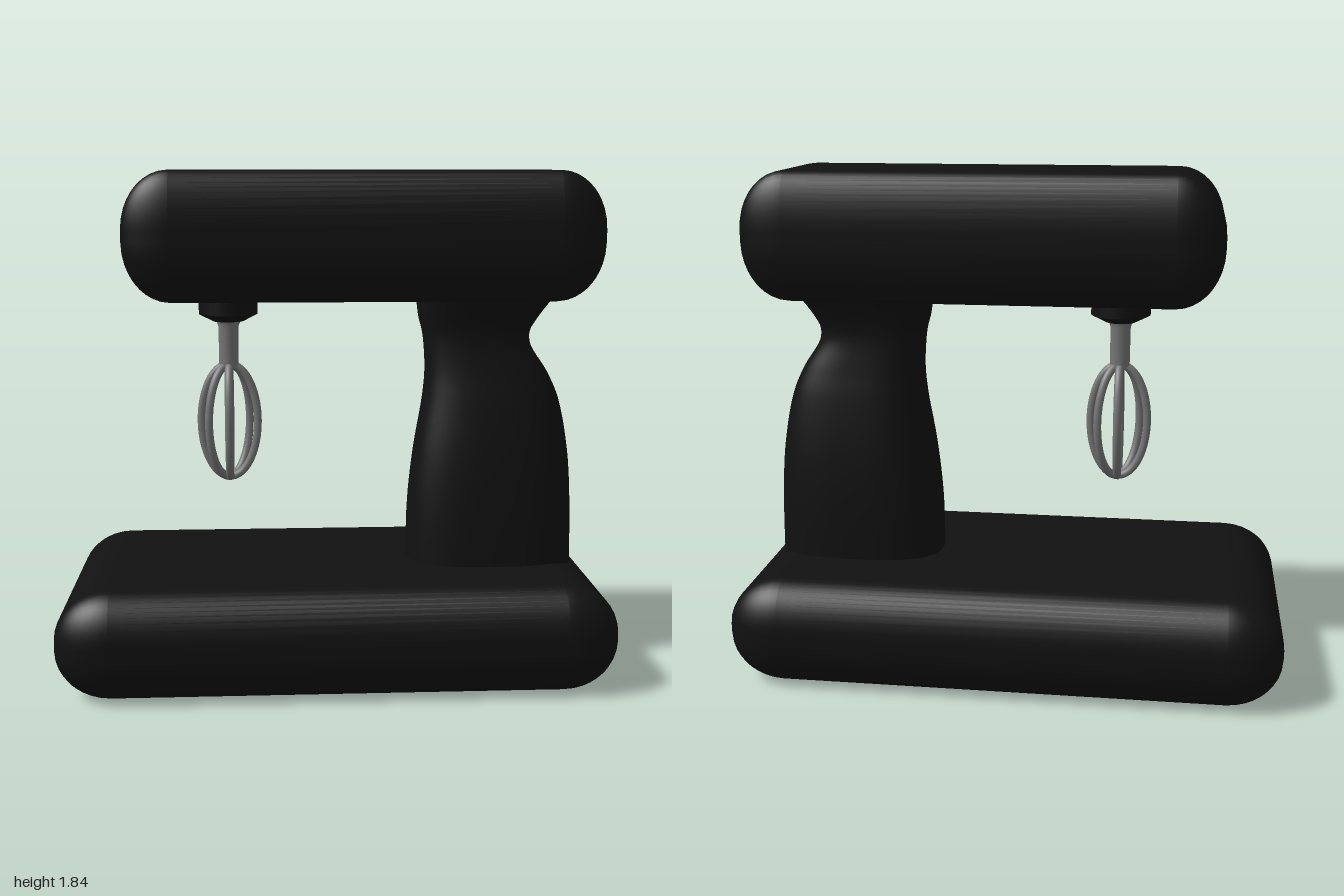
import * as THREE from 'three';
import { RoundedBoxGeometry } from 'three/addons/geometries/RoundedBoxGeometry.js';

const black = new THREE.MeshStandardMaterial({ color: 0x111111 });
const steel = new THREE.MeshStandardMaterial({ color: 0x777777 });

function add(parent, name, geometry, material, x = 0, y = 0, z = 0) {
  const mesh = new THREE.Mesh(geometry, material);
  mesh.name = name;
  mesh.position.set(x, y, z);
  parent.add(mesh);
  return mesh;
}

// Box with a different corner radius along each axis
function softBox(w, h, d, rx, ry, rz) {
  return new RoundedBoxGeometry(w / rx, h / ry, d / rz, 5, 1).scale(rx, ry, rz);
}

function lathe(points, segments = 32) {
  return new THREE.LatheGeometry(points.map(([r, y]) => new THREE.Vector2(r, y)), segments);
}

// Loft of rounded cross-sections; each row is [y, left x, right x, half depth]
function loft(rows, around = 48, steps = 40) {
  const edge = (i) => new THREE.CatmullRomCurve3(rows.map((r) => new THREE.Vector3(r[i], r[0], r[3])));
  const left = edge(1), right = edge(2);
  const positions = [], index = [];
  const soften = (v) => Math.sign(v) * Math.abs(v) ** 0.75;
  for (let j = 0; j <= steps; j++) {
    const a = left.getPoint(j / steps), b = right.getPoint(j / steps);
    for (let i = 0; i < around; i++) {
      const t = (i / around) * Math.PI * 2;
      positions.push(
        (a.x + b.x) / 2 + ((b.x - a.x) / 2) * soften(Math.cos(t)),
        a.y,
        a.z * soften(Math.sin(t))
      );
      if (j === steps) continue;
      const p = j * around + i, q = j * around + ((i + 1) % around);
      index.push(p, p + around, q, q, p + around, q + around);
    }
  }
  const g = new THREE.BufferGeometry();
  g.setAttribute('position', new THREE.Float32BufferAttribute(positions, 3));
  g.setIndex(index);
  g.computeVertexNormals();
  return g;
}

// Closed upright oval path for the whisk wires
class Oval extends THREE.Curve {
  getPoint(t, target = new THREE.Vector3()) {
    const a = t * Math.PI * 2;
    return target.set(0.105 * Math.sin(a), 0.212 * Math.cos(a), 0);
  }
}

export function createModel() {
  const model = new THREE.Group();
  model.name = 'standMixer';

  // Body
  add(model, 'base', softBox(2, 0.39, 1.06, 0.2, 0.18, 0.13), black, 0, 0.195, 0);
  add(model, 'head', softBox(1.71, 0.46, 0.58, 0.17, 0.21, 0.08), black, 0.105, 1.605, 0);
  add(model, 'column', loft([
    [0.34, 0.28, 0.905, 0.187],
    [0.6, 0.285, 0.9, 0.182],
    [0.8, 0.305, 0.885, 0.17],
    [1.0, 0.337, 0.845, 0.146],
    [1.1, 0.345, 0.8, 0.13],
    [1.2, 0.34, 0.737, 0.118],
    [1.25, 0.333, 0.733, 0.118],
    [1.3, 0.32, 0.76, 0.127],
    [1.4, 0.308, 0.835, 0.16],
  ]), black);

  // Mixing attachment
  const beater = new THREE.Group();
  beater.name = 'beater';
  beater.position.x = -0.385;
  model.add(beater);
  add(beater, 'collar', lathe([[0, 1.29], [0.055, 1.29], [0.108, 1.317], [0.108, 1.317], [0.108, 1.4]]), black);
  add(beater, 'shaft', lathe([[0, 1.125], [0.036, 1.125], [0.036, 1.125], [0.037, 1.27], [0.046, 1.295]], 24), steel);
  for (let i = 0; i < 3; i++) {
    const wire = add(beater, 'whiskWire', new THREE.TubeGeometry(new Oval(), 64, 0.015, 10, true), steel, 0, 0.918, 0);
    wire.rotation.y = (i * Math.PI) / 4;
  }
  return model;
}
